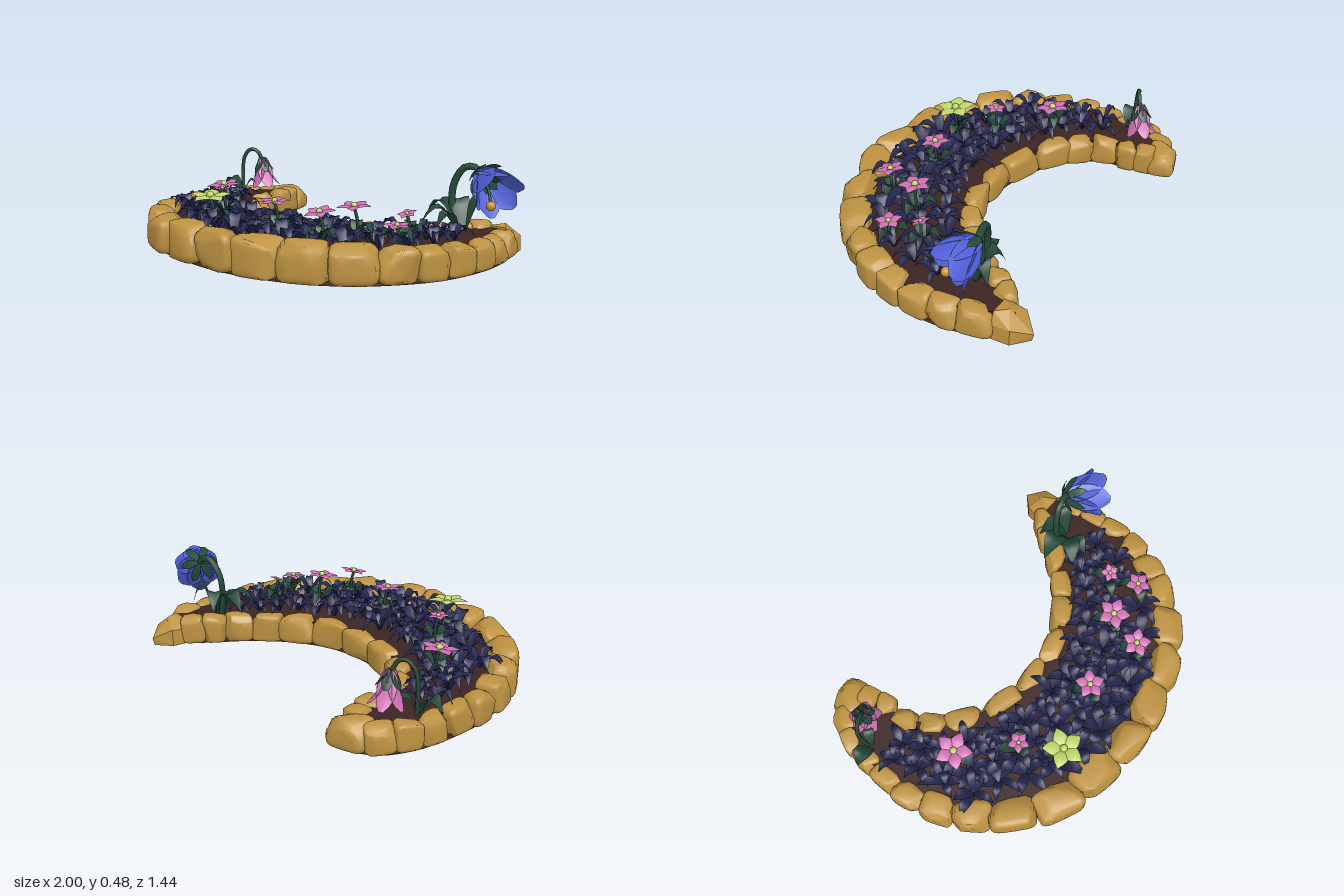
import * as THREE from 'three';
import { mergeGeometries, mergeVertices } from 'three/addons/utils/BufferGeometryUtils.js';
import { ConvexGeometry } from 'three/addons/geometries/ConvexGeometry.js';

const V = (x, y, z) => new THREE.Vector3(x, y, z);
const UP = V(0, 1, 0);
let seed = 7;
const rnd = (a = 0, b = 1) => {
  seed = (seed * 16807) % 2147483647;
  return a + (b - a) * (seed / 2147483647);
};

const mat = (name, color, side = THREE.DoubleSide) => {
  const m = new THREE.MeshStandardMaterial({ color, side });
  m.name = name;
  return m;
};

// Stone centres [x, z], both rows running from the left-hand tip round to the right-hand tip
const OUTER = [[-0.75, -0.64], [-0.85, -0.57], [-0.905, -0.46], [-0.93, -0.34], [-0.935, -0.19], [-0.925, -0.04],
  [-0.88, 0.12], [-0.80, 0.27], [-0.66, 0.42], [-0.465, 0.56], [-0.235, 0.61], [0, 0.63], [0.23, 0.6], [0.455, 0.525],
  [0.64, 0.4], [0.77, 0.25], [0.855, 0.11], [0.9, -0.03], [0.92, -0.18], [0.915, -0.32], [0.88, -0.47], [0.8, -0.63]];
const INNER = [[-0.68, -0.55], [-0.66, -0.45], [-0.65, -0.32], [-0.57, -0.2], [-0.45, -0.09], [-0.26, 0], [-0.05, 0.03],
  [0.165, 0], [0.34, -0.09], [0.47, -0.2], [0.57, -0.32], [0.64, -0.43], [0.71, -0.52]];

const tangent = (pts, i) => {
  const a = pts[Math.max(i - 1, 0)], b = pts[Math.min(i + 1, pts.length - 1)];
  return new THREE.Vector2(b[0] - a[0], b[1] - a[1]);
};
const offset = (pts, d) => pts.map((p, i) => {
  const t = tangent(pts, i).normalize();
  return [p[0] - t.y * d, p[1] + t.x * d];
});

// Rounded block standing on y = 0, worn by a few random flat cuts
function stone(l, h, w) {
  const raw = new THREE.IcosahedronGeometry(1, 4);
  raw.deleteAttribute('uv');
  raw.deleteAttribute('normal');
  const g = mergeVertices(raw, 1e-4);
  const cuts = Array.from({ length: 7 }, () => [V(rnd(-1, 1), rnd(-0.3, 1), rnd(-1, 1)).normalize(), rnd(0.92, 1.05)]);
  const pos = g.attributes.position, p = V(0, 0, 0);
  const square = c => Math.sign(c) * Math.abs(c) ** 0.42;
  for (let i = 0; i < pos.count; i++) {
    p.fromBufferAttribute(pos, i);
    p.set(square(p.x), square(p.y), square(p.z));
    for (const [n, d] of cuts) p.addScaledVector(n, -Math.max(0, p.dot(n) - d));
    pos.setXYZ(i, p.x * l / 2, (p.y + 1) * h / 2, p.z * w / 2);
  }
  g.computeVertexNormals();
  return g;
}

function stoneRow(pts, size) {
  return mergeGeometries(pts.map((p, i) => {
    const t = tangent(pts, i);
    const ends = i === 0 || i === pts.length - 1;
    const [h, w] = size(p[1]);
    return stone(t.length() * (ends ? 1.2 : 0.56), h * rnd(0.96, 1.05), w * rnd(0.96, 1.1))
      .rotateY(Math.atan2(-t.y, t.x)).translate(p[0], 0.004, p[1]);
  }));
}

// Crescent slab between two rows
function crescent(outer, inner, y, depth) {
  const vs = p => new THREE.Vector2(p[0], -p[1]);
  const s = new THREE.Shape();
  s.moveTo(outer[0][0], -outer[0][1]);
  s.splineThru(outer.slice(1).map(vs));
  const back = [...inner].reverse().map(vs);
  s.lineTo(back[0].x, back[0].y);
  s.splineThru(back.slice(1));
  return new THREE.ExtrudeGeometry(s, { depth, bevelEnabled: false, curveSegments: 3 })
    .rotateX(-Math.PI / 2).translate(0, y, 0);
}

// Folded ribbon: path(t) gives [forward, up], width(t) the half width, fold lowers the edges
function ribbon(path, width, fold = [0, 0], rows = 6) {
  const pos = [], idx = [];
  for (let i = 0; i <= rows; i++) {
    const t = i / rows, [z, y] = path(t), w = width(t);
    for (const s of [-1, 0, 1]) pos.push(s * w, y + fold[1] * w * Math.abs(s), z + fold[0] * w * Math.abs(s));
    if (i) for (const k of [0, 1]) {
      const a = (i - 1) * 3 + k, b = a + 3;
      idx.push(a, b, a + 1, a + 1, b, b + 1);
    }
  }
  const g = new THREE.BufferGeometry();
  g.setAttribute('position', new THREE.Float32BufferAttribute(pos, 3));
  g.setIndex(idx);
  g.computeVertexNormals();
  return g;
}

const leaf = (len, w, rise) => ribbon(
  t => [len * t, rise * Math.sin(Math.PI * 0.88 * t)],
  t => w * Math.sin(Math.PI * (0.1 + 0.9 * t)), [0, 0.3]);

const ring = (n, make, turn = 0) => mergeGeometries(
  Array.from({ length: n }, (_, i) => make(i).rotateY(turn + i / n * Math.PI * 2)));

// Cup of petals opening along +y
const cup = (n, len, r, w, flare) => ring(n, () => ribbon(
  t => [r * (0.12 + 0.78 * Math.sin(t * 1.6)) + flare * t ** 4, len * t],
  t => w * Math.sqrt(Math.max(0, Math.sin(Math.PI * (0.08 + 0.9 * t)))), [-0.25, 0], 8));

const tube = (pts, r) => new THREE.TubeGeometry(new THREE.CatmullRomCurve3(pts.map(p => V(...p))), 16, r, 6);

export function createModel() {
  const M = {
    stone: mat('sandstone', 0xbd9242, THREE.FrontSide),
    soil: mat('soil', 0x3c2424, THREE.FrontSide),
    base: mat('brown earth', 0x543320, THREE.FrontSide),
    indigo: mat('indigo leaf', 0x25274f),
    green: mat('dark green', 0x25493a),
    pink: mat('pink petal', 0xcf70b2),
    lime: mat('lime petal', 0xbfd66c),
    blue: mat('blue petal', 0x4f5fd6),
    gold: mat('gold centre', 0xcf9530),
  };
  const model = new THREE.Group();
  model.name = 'flowerBed';
  const add = (parent, name, geo, m) => {
    const mesh = new THREE.Mesh(geo, m);
    mesh.name = name;
    parent.add(mesh);
    return mesh;
  };
  const group = (name, x = 0, y = 0, z = 0) => {
    const g = new THREE.Group();
    g.name = name;
    g.position.set(x, y, z);
    model.add(g);
    return g;
  };

  // Soil and stone border
  add(model, 'bedBase', crescent(offset(OUTER, 0.03), offset(INNER, -0.02), 0, 0.02), M.base);
  add(model, 'soil', crescent(OUTER, INNER, 0.01, 0.115), M.soil);
  const lift = z => THREE.MathUtils.smoothstep(z, -0.3, 0.6);
  add(model, 'outerStones', stoneRow(OUTER.slice(1, -1), z => [0.14 + 0.05 * lift(z), 0.11 + 0.065 * lift(z)]), M.stone);
  add(model, 'innerStones', stoneRow(INNER, () => [0.15, 0.115]), M.stone);
  add(model, 'leftTipStone', stone(0.2, 0.145, 0.15).rotateY(0.3).translate(-0.735, 0.004, -0.63), M.stone);
  add(model, 'rightTipStone', new ConvexGeometry([[-0.09, 0, 0.08], [0.09, 0, 0.08], [-0.08, 0, -0.03], [0.08, 0, -0.03],
    [0, 0, -0.1], [0, 0.04, -0.11], [-0.09, 0.08, 0.06], [0.085, 0.08, 0.06], [-0.05, 0.13, 0.07], [0.05, 0.13, 0.07],
    [0.01, 0.14, 0.01], [-0.075, 0.09, -0.03], [0.075, 0.08, -0.03]].map(p => V(...p))).translate(0.8, 0.004, -0.615), M.stone);

  // Indigo foliage: open tufts of broad arching leaves, soil showing between them
  const curve = pts => new THREE.CatmullRomCurve3(pts.map(p => V(p[0], 0.12, p[1])));
  const outer = curve(OUTER), inner = curve(INNER), blades = [];
  for (let i = 0; i < 17; i++) {
    const u = 0.14 + 0.72 * i / 16;
    const a = outer.getPointAt(u), b = inner.getPointAt(u);
    const n = Math.max(2, Math.round(a.distanceTo(b) / 0.17));
    for (let k = 0; k < n; k++) {
      const v = 0.16 + 0.66 * (k + rnd(0.2, 0.8)) / n;
      const p = a.clone().lerp(b, v), size = 0.8 + 0.35 * lift(p.z), turn = rnd(0, 6);
      for (let j = 0; j < 5; j++) {
        blades.push(leaf(size * rnd(0.09, 0.15), size * rnd(0.02, 0.031), size * rnd(0.05, 0.1))
          .rotateY(turn + j * 1.26 + rnd(-0.4, 0.4)).translate(p.x, p.y, p.z));
      }
    }
  }
  add(model, 'indigoLeaves', mergeGeometries(blades), M.indigo);

  // Star flowers: x, y, z, radius, material
  const stars = [[-0.63, 0.245, 0.01, 0.1, M.pink], [-0.395, 0.285, 0.24, 0.058, M.pink], [-0.275, 0.285, 0.43, 0.11, M.lime],
    [0.07, 0.29, 0.32, 0.08, M.pink], [0.4, 0.29, 0.36, 0.08, M.pink], [0.45, 0.295, 0.17, 0.088, M.pink],
    [0.69, 0.235, 0.15, 0.07, M.pink], [0.635, 0.26, 0, 0.052, M.pink]];
  stars.forEach(([x, y, z, r, m], i) => {
    const plant = group('starFlower', x, y, z);
    const head = new THREE.Group();
    head.name = 'flowerHead';
    head.rotation.set(rnd(0, 0.2), i + 0.6, rnd(-0.15, 0.15));
    plant.add(head);
    add(head, 'petals', ring(5, () => ribbon(t => [r * t, r * 0.2 * Math.sin(2.8 * t)],
      t => r * 0.36 * Math.sin(Math.PI * (0.16 + 0.84 * t)), [0, -0.3], 5)), m);
    add(head, 'flowerCentre', new THREE.SphereGeometry(r * 0.19, 8, 6).translate(0, r * 0.1, 0), M.lime);
    add(plant, 'stem', tube([[0, 0, 0], [0.012, -0.07, -0.01], [0, 0.11 - y, -0.02]], 0.008), M.green);
    add(plant, 'stemLeaves', ring(3, () => leaf(rnd(0.08, 0.12), 0.03, 0.095), i * 2).translate(0, 0.12 - y, -0.01), M.green);
  });

  // Nodding bell flower: head turned so its mouth faces dir
  function bell(name, base, dir, stem, stemR, build) {
    const plant = group(name);
    add(plant, 'stem', tube(stem, stemR), M.green);
    const head = new THREE.Group();
    head.name = 'bellHead';
    head.position.set(...base);
    head.quaternion.setFromUnitVectors(UP, V(...dir).normalize());
    plant.add(head);
    build(head);
    return plant;
  }
  // Broad base leaves: x, y, z, yaw, length, half width, rise
  const baseLeaves = (plant, list) => add(plant, 'baseLeaves', mergeGeometries(list.map(
    ([x, y, z, yaw, len, w, rise]) => leaf(len, w, rise).rotateY(yaw).translate(x, y, z))), M.green);

  const big = bell('blueBellFlower', [0.77, 0.42, -0.42], [0.76, -0.42, 0.36],
    [[0.68, 0.11, -0.36], [0.64, 0.24, -0.37], [0.64, 0.36, -0.38], [0.69, 0.445, -0.4], [0.75, 0.445, -0.415], [0.785, 0.41, -0.415]], 0.018, head => {
      add(head, 'petals', cup(6, 0.2, 0.115, 0.075, 0.025), M.blue);
      add(head, 'calyx', ring(6, () => ribbon(t => [0.015 + 0.085 * Math.sin(t * 1.5), 0.08 * t - 0.014],
        t => 0.022 * Math.sin(Math.PI * (0.15 + 0.85 * t))), 0.5), M.green);
      add(head, 'innerCalyx', ring(6, () => ribbon(t => [0.06 * t, 0.05 + 0.05 * t],
        t => 0.026 * Math.sin(Math.PI * (0.2 + 0.8 * t)))), M.green);
    });
  add(big, 'stamen', tube([[0.8, 0.4, -0.405], [0.85, 0.34, -0.37], [0.885, 0.295, -0.33]], 0.007), M.green);
  add(big, 'stamenTip', new THREE.SphereGeometry(0.024, 10, 8).translate(0.89, 0.285, -0.325), M.gold);
  baseLeaves(big, [[0.7, 0.13, -0.36, -1.5, 0.2, 0.055, 0.14], [0.7, 0.13, -0.34, -0.75, 0.19, 0.05, 0.12],
    [0.71, 0.13, -0.36, -2.3, 0.15, 0.05, 0.15], [0.72, 0.13, -0.37, 2.6, 0.12, 0.045, 0.16],
    [0.7, 0.13, -0.33, -0.2, 0.14, 0.04, 0.1]]);

  const small = bell('pinkBellFlower', [-0.79, 0.335, -0.45], [0.04, -1, -0.1],
    [[-0.87, 0.11, -0.37], [-0.885, 0.24, -0.38], [-0.88, 0.34, -0.39], [-0.85, 0.385, -0.41], [-0.81, 0.375, -0.43], [-0.79, 0.32, -0.45]], 0.011, head => {
      add(head, 'petals', cup(5, 0.17, 0.058, 0.045, 0.035), M.pink);
      add(head, 'calyx', cup(5, 0.08, 0.055, 0.026, 0.012), M.green);
      add(head, 'stamen', new THREE.SphereGeometry(0.013, 8, 6).translate(0, 0.15, 0), M.gold);
    });
  baseLeaves(small, [[-0.87, 0.12, -0.35, -1.4, 0.12, 0.045, 0.09], [-0.86, 0.12, -0.36, 2.4, 0.09, 0.03, 0.08]]);

  return model;
}
